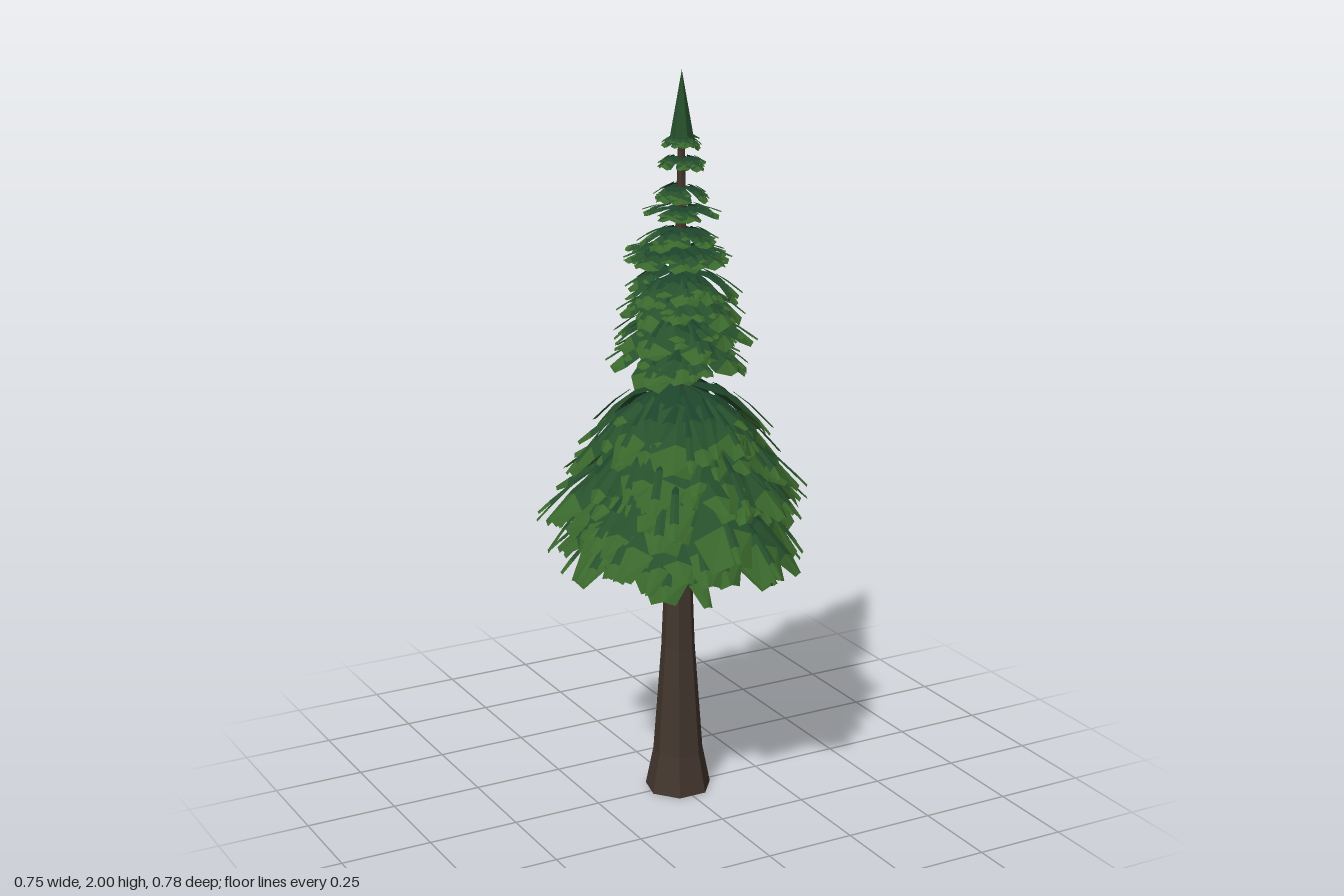
import * as THREE from 'three';

// Seeded random numbers so that the tree is always the same
let seed = 7;
const rand = () => {
  seed = (seed * 16807) % 2147483647;
  return seed / 2147483647;
};
const vary = (v, amount) => v * (1 + (rand() * 2 - 1) * amount);

const leafMaterial = (color) => new THREE.MeshStandardMaterial({
  color, roughness: 0.9, flatShading: true, side: THREE.DoubleSide,
});
const bark = new THREE.MeshStandardMaterial({ color: 0x43372e, roughness: 0.9, flatShading: true });
const shades = [
  { name: 'innerNeedles', material: leafMaterial(0x1d442b) },
  { name: 'middleNeedles', material: leafMaterial(0x27502c) },
  { name: 'needleTips', material: leafMaterial(0x3a682c) },
];

// The stem leans slightly to the front near the top
const lean = (y) => 0.02 * Math.max(0, (y - 0.6) / 1.4);

// Adds one folded, drooping blade; its stretches go to the three shade lists
function addBlade(lists, { angle, y, r0, r1, drop, power, width, spread = 0, tip = 0.5 }) {
  const steps = [0, 0.42, 0.8, 1];
  const widths = [0.3, 0.8, 1, tip];
  const rows = steps.map((t, i) => {
    const a = angle + spread * t;
    const r = THREE.MathUtils.lerp(r0, r1, t);
    const h = y - drop * t ** power;
    return [-1, 0, 1].map((side) => {
      const half = width * widths[i] * side;
      const back = side && i === 3 ? 0.15 * width : 0;
      return [
        Math.cos(a) * (r - back) - Math.sin(a) * half,
        h - Math.abs(half) * 0.4,
        Math.sin(a) * (r - back) + Math.cos(a) * half + lean(h),
      ];
    });
  });
  for (let i = 0; i < 3; i++) {
    for (let j = 0; j < 2; j++) {
      const [a, b] = [rows[i][j], rows[i][j + 1]];
      const [d, c] = [rows[i + 1][j], rows[i + 1][j + 1]];
      lists[i].push(...a, ...b, ...c, ...a, ...c, ...d);
    }
  }
}

// One whorl of branches: broad blades, each with two side sprigs and a short ridge sprig
function createTier({ y, radius, drop, count, width, power }, index) {
  const lists = [[], [], []];
  const turn = index * 2.4;
  for (let i = 0; i < count; i++) {
    const angle = turn + ((i + (rand() - 0.5) * 0.6) / count) * Math.PI * 2;
    const r = vary(radius, 0.13);
    const d = vary(drop, 0.18);
    const top = y + (rand() - 0.5) * 0.05 * (drop / 0.25);
    addBlade(lists, {
      angle, y: top, r0: 0.012, r1: r, drop: d, power,
      width: vary(width, 0.25), spread: (rand() - 0.5) * 0.2, tip: 0.35 + rand() * 0.35,
    });
    for (const side of [-1, 1]) {
      const s = 0.3 + rand() * 0.2;
      const e = 0.8 + rand() * 0.22;
      addBlade(lists, {
        angle: angle + side * 0.1, y: top - d * s ** power + 0.006, r0: r * s, r1: r * e,
        drop: d * (e ** power - s ** power) * vary(1, 0.25), power: 1.3,
        width: vary(width, 0.3) * 0.5, spread: side * vary(0.25, 0.5), tip: 0.45,
      });
    }
    addBlade(lists, {
      angle: angle + (rand() - 0.5) * 0.2, y: top - d * 0.6 ** power + 0.01, r0: r * 0.6, r1: r * 1.06,
      drop: d * (1 - 0.6 ** power), power: 1.2, width: width * 0.2, tip: 0.7,
    });
  }
  const tier = new THREE.Group();
  tier.name = `branchTier${index + 1}`;
  shades.forEach(({ name, material }, i) => {
    const geometry = new THREE.BufferGeometry();
    geometry.setAttribute('position', new THREE.Float32BufferAttribute(lists[i], 3));
    geometry.computeVertexNormals();
    const mesh = new THREE.Mesh(geometry, material);
    mesh.name = name;
    tier.add(mesh);
  });
  return tier;
}

export function createModel() {
  seed = 7;
  const tree = new THREE.Group();
  tree.name = 'coniferTree';

  // Seven-sided trunk with a flared foot
  const profile = [[0, 0], [0.092, 0], [0.07, 0.11], [0.047, 0.42], [0.036, 0.7], [0.024, 1.2], [0.008, 1.86]]
    .map(([r, y]) => new THREE.Vector2(r, y));
  const trunkGeometry = new THREE.LatheGeometry(profile, 7, Math.PI);
  const p = trunkGeometry.attributes.position;
  for (let i = 0; i < p.count; i++) p.setZ(i, p.getZ(i) + lean(p.getY(i)));
  const trunk = new THREE.Mesh(trunkGeometry, bark);
  trunk.name = 'trunk';
  tree.add(trunk);

  // Wide domed skirt of arching, overlapping whorls
  const tiers = [
    { y: 0.93, radius: 0.315, drop: 0.24, count: 12, width: 0.066, power: 1.6 },
    { y: 0.98, radius: 0.345, drop: 0.25, count: 12, width: 0.068, power: 1.65 },
    { y: 1.04, radius: 0.335, drop: 0.24, count: 12, width: 0.066, power: 1.7 },
    { y: 1.10, radius: 0.31, drop: 0.25, count: 11, width: 0.062, power: 1.75 },
    { y: 1.14, radius: 0.275, drop: 0.22, count: 10, width: 0.06, power: 1.9 },
    { y: 1.17, radius: 0.23, drop: 0.16, count: 9, width: 0.056, power: 2.1 },
  ];

  // Slimmer whorls up to the crown
  const crown = [
    [1.30, 0.185, 0.09], [1.365, 0.175, 0.09], [1.43, 0.155, 0.08], [1.48, 0.145, 0.065], [1.54, 0.145, 0.035],
    [1.59, 0.105, 0.04], [1.645, 0.095, 0.025], [1.70, 0.078, 0.03], [1.775, 0.066, 0.025], [1.83, 0.05, 0.025],
  ];
  for (const [y, radius, drop] of crown) {
    tiers.push({ y, radius, drop, count: radius > 0.1 ? 8 : 6, width: 0.01 + radius * 0.22, power: 2 });
  }
  tiers.forEach((tier, i) => tree.add(createTier(tier, i)));

  // Pointed leader at the very top
  const leader = new THREE.Mesh(new THREE.ConeGeometry(0.032, 0.18, 6), shades[1].material);
  leader.name = 'leader';
  leader.position.set(0, 1.91, 0.019);
  tree.add(leader);

  return tree;
}
